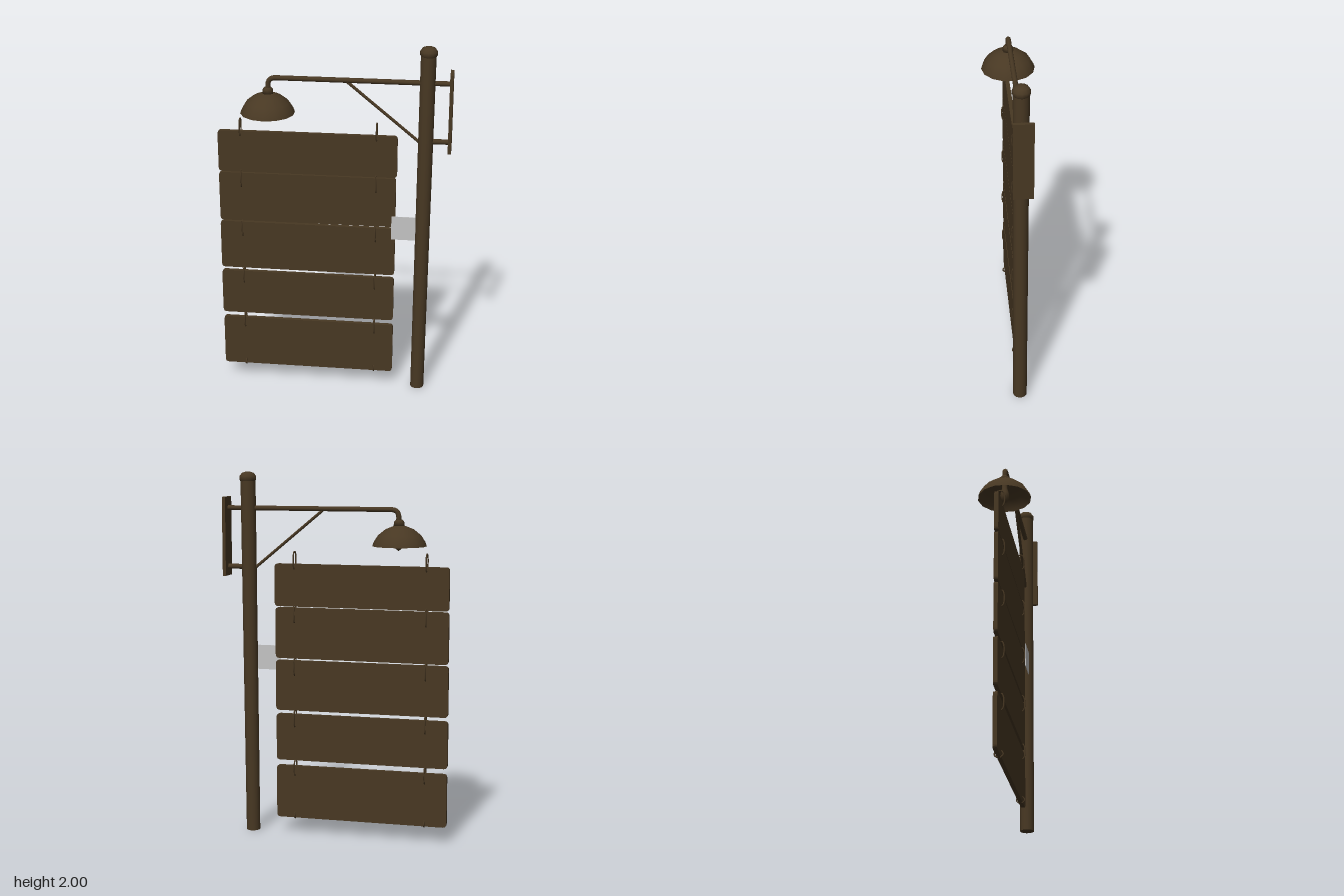
import * as THREE from 'three';

export function createModel() {
  const root = new THREE.Group();
  const brown = new THREE.MeshStandardMaterial({ color: 0x483823, side: THREE.DoubleSide });
  brown.name = 'dark brown';
  const grey = new THREE.MeshStandardMaterial({ color: 0xc4c4c4 });
  grey.name = 'light grey';
  const V = (x, y, z = 0) => new THREE.Vector3(x, y, z);

  const add = (name, geo, mat = brown, x = 0, y = 0, z = 0) => {
    const m = new THREE.Mesh(geo, mat);
    m.name = name;
    m.position.set(x, y, z);
    root.add(m);
    return m;
  };
  // straight round bar between two points
  const bar = (name, a, b, r0, r1 = r0, sides = 10) => {
    const d = b.clone().sub(a);
    const m = add(name, new THREE.CylinderGeometry(r1, r0, d.length(), sides));
    m.position.copy(a).addScaledVector(d, 0.5);
    m.quaternion.setFromUnitVectors(V(0, 1), d.normalize());
    return m;
  };
  const lathe = (name, pts, sides, x, y) =>
    add(name, new THREE.LatheGeometry(pts.map(p => new THREE.Vector2(...p)), sides), brown, x, y);

  // slightly leaning post with a rounded cap
  bar('post', V(0.478, 0), V(0.49, 1.95), 0.038, 0.041, 14);
  lathe('postCap', [[0, -0.06], [0.034, -0.06], [0.046, -0.043], [0.046, -0.024], [0.034, -0.007], [0.015, 0], [0, 0]],
    12, 0.491, 2.0);

  // wall plate and its two short connectors
  add('bracketPlate', new THREE.BoxGeometry(0.018, 0.43, 0.104), brown, 0.614, 1.65, -0.001);
  bar('lowerConnector', V(0.48, 1.485), V(0.612, 1.485), 0.014);

  // arm that bends down to the lamp
  const path = new THREE.CurvePath();
  path.add(new THREE.LineCurve3(V(0.612, 1.805), V(-0.305, 1.805)));
  path.add(new THREE.QuadraticBezierCurve3(V(-0.305, 1.805), V(-0.347, 1.805), V(-0.347, 1.765)));
  path.add(new THREE.LineCurve3(V(-0.347, 1.765), V(-0.347, 1.72)));
  add('lampArm', new THREE.TubeGeometry(path, 120, 0.0135, 10));
  bar('brace', V(0.07, 1.797), V(0.455, 1.478), 0.008);

  // lamp shade with collar and bulb
  lathe('shade', [[0.145, 1.612], [0.137, 1.635], [0.115, 1.67], [0.075, 1.702], [0.03, 1.72], [0, 1.722]].reverse(),
    14, -0.352, 0);
  lathe('lampCollar', [[0, 1.715], [0.03, 1.715], [0.027, 1.742], [0.018, 1.752], [0, 1.752]], 10, -0.349, 0);
  lathe('bulb', [[0, 1.585], [0.015, 1.598], [0.025, 1.62], [0.024, 1.645], [0.015, 1.68], [0.015, 1.715]], 10, -0.347, 0);

  // hanging boards with rounded corners: left, right, bottom, top, tilt
  const boards = [
    [-0.624, 0.34, 1.272, 1.505, 0.002],
    [-0.624, 0.336, 0.985, 1.266, 0.002],
    [-0.625, 0.336, 0.696, 0.975, -0.002],
    [-0.626, 0.334, 0.414, 0.675, -0.001],
    [-0.624, 0.334, 0.087, 0.383, -0.002],
  ];
  boards.forEach(([l, r, b, t, tilt]) => {
    const w = (r - l) / 2, h = (t - b) / 2, c = 0.02;
    const s = new THREE.Shape();
    s.moveTo(-w + c, -h);
    s.lineTo(w - c, -h).quadraticCurveTo(w, -h, w, -h + c);
    s.lineTo(w, h - c).quadraticCurveTo(w, h, w - c, h);
    s.lineTo(-w + c, h).quadraticCurveTo(-w, h, -w, h - c);
    s.lineTo(-w, -h + c).quadraticCurveTo(-w, -h, -w + c, -h);
    const geo = new THREE.ExtrudeGeometry(s, { depth: 0.022, bevelEnabled: false, curveSegments: 4 });
    geo.translate(0, 0, -0.011);
    add('board', geo, brown, (l + r) / 2, (b + t) / 2).rotation.z = tilt;
  });

  // wire hooks straddling the boards: top, bottom
  const hooks = [[1.574, 1.478], [1.284, 1.184], [0.988, 0.892], [0.7, 0.603], [0.418, 0.326], [0.12, 0.083]];
  hooks.forEach(([t, b]) => {
    for (const x of [-0.502, 0.229]) {
      const wire = new THREE.CatmullRomCurve3([
        V(x, b, 0.008), V(x, b + 0.01, 0.02), V(x, t - 0.02, 0.022), V(x, t - 0.004, 0.012),
        V(x, t - 0.004, -0.012), V(x, t - 0.02, -0.022), V(x, b + 0.01, -0.02), V(x, b, -0.008),
      ]);
      add('hook', new THREE.TubeGeometry(wire, 28, 0.004, 6));
    }
  });

  // small plate between post and boards
  add('sidePlate', new THREE.BoxGeometry(0.131, 0.135, 0.004), grey, 0.381, 0.983, 0.017);
  return root;
}
